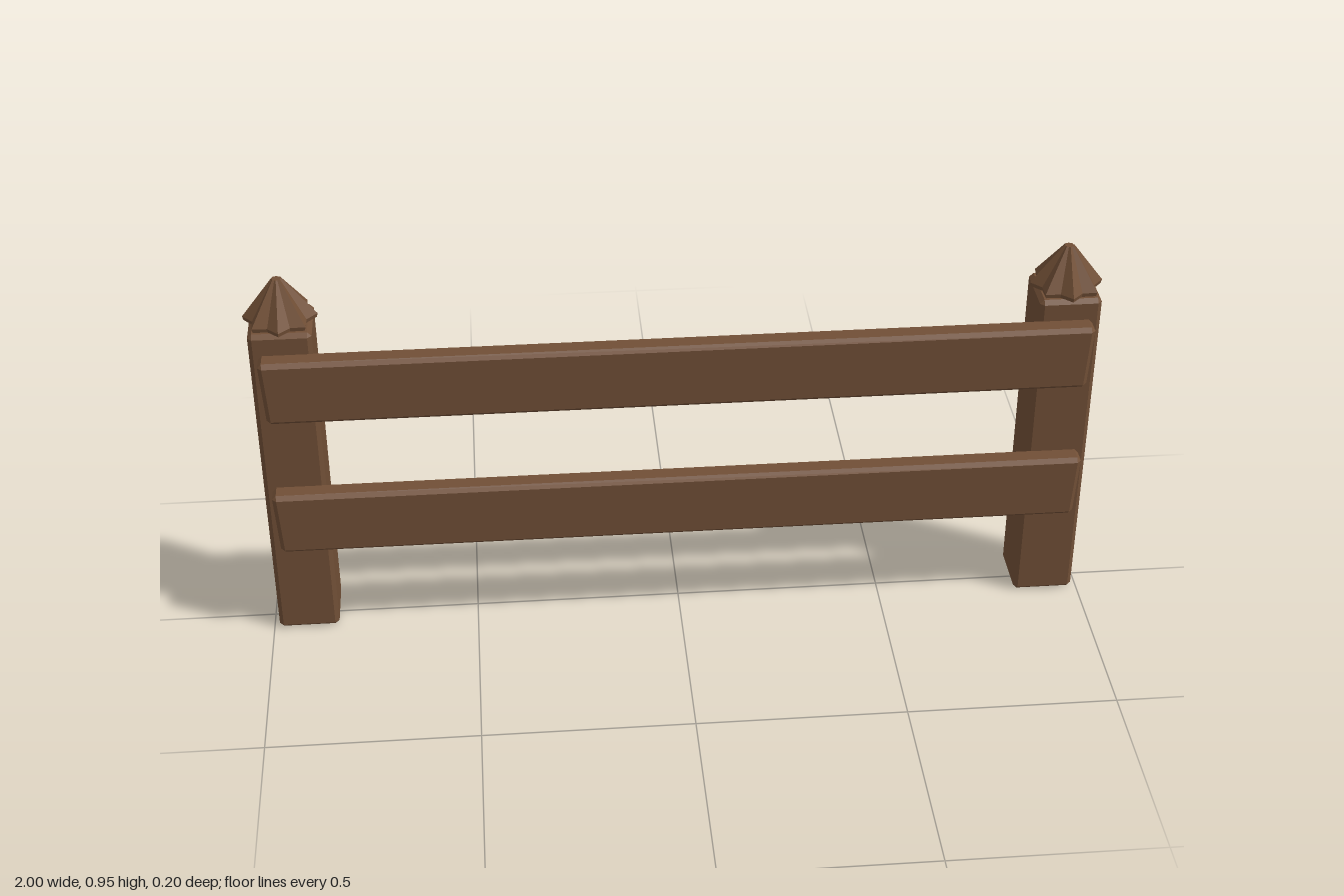
import * as THREE from 'three';
import { ConvexGeometry } from 'three/addons/geometries/ConvexGeometry.js';

const wood = new THREE.MeshStandardMaterial({ color: 0x714f36 });
wood.name = 'brown wood';

// Box with chamfered edges; taper pulls the lower ends inward along x
function chamferBox(w, h, d, c, taper = 0) {
  const half = [w / 2, h / 2, d / 2];
  const points = [];
  for (const sx of [-1, 1]) for (const sy of [-1, 1]) for (const sz of [-1, 1]) {
    for (let face = 0; face < 3; face++) {
      const p = [sx, sy, sz].map((s, i) => s * (half[i] - (i === face ? 0 : c)));
      p[0] *= 1 - taper * (0.5 - p[1] / h);
      points.push(new THREE.Vector3(...p));
    }
  }
  return new ConvexGeometry(points);
}

// Eight-pointed faceted spire with a thin rim
function starCap(radius, height) {
  const profile = [[0, 0], [radius * 0.97, 0], [radius, 0.01], [0.012, height], [0, height]]
    .map(([x, y]) => new THREE.Vector2(x, y));
  const geo = new THREE.LatheGeometry(profile, 16).toNonIndexed();
  const pos = geo.attributes.position;
  for (let i = 0; i < pos.count; i++) {
    const x = pos.getX(i), z = pos.getZ(i);
    const step = Math.round(Math.atan2(x, z) / (Math.PI / 8));
    const k = step % 2 === 0 ? 1 : 0.78;
    pos.setX(i, x * k);
    pos.setZ(i, z * k);
  }
  geo.computeVertexNormals();
  return geo;
}

function addMesh(parent, name, geo, x, y, z) {
  const mesh = new THREE.Mesh(geo, wood);
  mesh.name = name;
  mesh.position.set(x, y, z);
  parent.add(mesh);
}

export function createModel() {
  const fence = new THREE.Group();
  fence.name = 'fence';

  // Posts with pointed caps
  const postGeo = chamferBox(0.146, 0.84, 0.146, 0.01);
  const capGeo = starCap(0.086, 0.106);
  for (const [side, s] of [['left', 1], ['right', -1]]) {
    addMesh(fence, side + 'Post', postGeo, s * 0.914, 0.42, -0.015);
    addMesh(fence, side + 'PostCap', capGeo, s * 0.914, 0.842, -0.015);
  }

  // Horizontal rails on the front of the posts
  const railGeo = chamferBox(1.935, 0.163, 0.056, 0.01, 0.01);
  addMesh(fence, 'upperRail', railGeo, 0, 0.706, 0.075);
  addMesh(fence, 'lowerRail', railGeo, 0, 0.34, 0.075);

  return fence;
}
